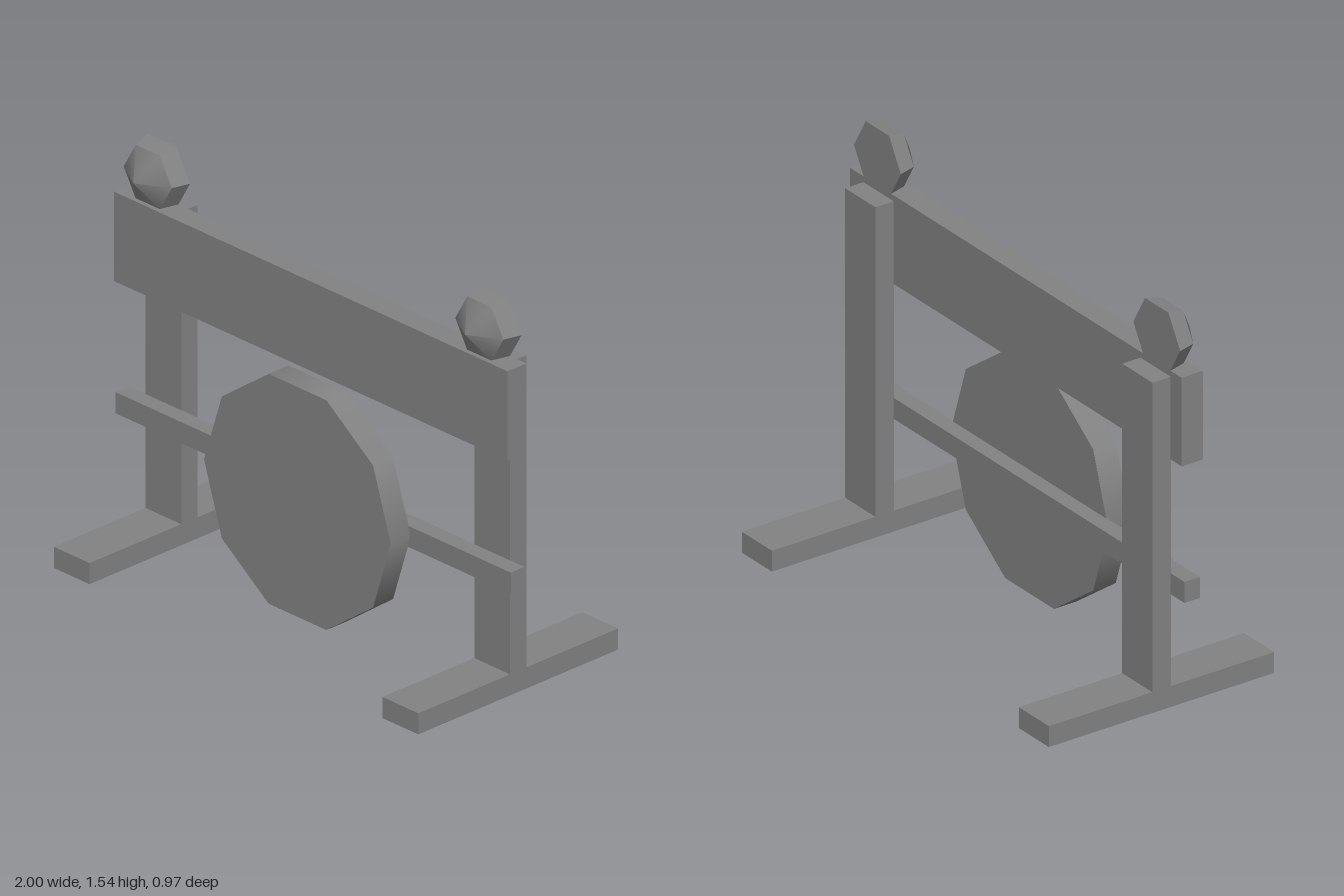
import * as THREE from 'three';
import { toCreasedNormals } from 'three/addons/utils/BufferGeometryUtils.js';

const material = new THREE.MeshStandardMaterial({ color: 0x828282 });

export function createModel() {
  const model = new THREE.Group();
  model.name = 'barrier';

  const add = (name, geometry, x, y, z) => {
    const mesh = new THREE.Mesh(geometry, material);
    mesh.name = name;
    mesh.position.set(x, y, z);
    model.add(mesh);
  };

  // Box given by its lower and upper limits on each axis
  const addBox = (name, [x0, x1], [y0, y1], [z0, z1]) =>
    add(name, new THREE.BoxGeometry(x1 - x0, y1 - y0, z1 - z0),
      (x0 + x1) / 2, (y0 + y1) / 2, (z0 + z1) / 2);

  // Six-sided lamp: flat back, tapered rim, smooth pointed front
  const profile = [[0, 0], [0.14, 0], [0.121, 0.07], [0, 0.14]]
    .map(([r, h]) => new THREE.Vector2(r, h));
  const lampGeometry = toCreasedNormals(
    new THREE.LatheGeometry(profile, 6, Math.PI / 2).rotateX(Math.PI / 2), 0.65);

  // Feet, posts and lamps on both sides
  for (const [side, s] of [['left', 1], ['right', -1]]) {
    const x = s * 0.827;
    const span = [x - 0.09, x + 0.09];
    addBox(side + 'Foot', span, [0, 0.082], [-0.485, 0.485]);
    addBox(side + 'Post', span, [0.082, 1.297], [-0.04, 0.04]);
    add(side + 'Lamp', lampGeometry, s * 0.834, 1.421, 0.039);
  }

  // Wide top board and thin middle rail
  addBox('topBoard', [-0.983, 0.998], [0.972, 1.32], [0.039, 0.13]);
  addBox('middleRail', [-1, 0.988], [0.443, 0.525], [0.039, 0.105]);

  // Ten-sided sign disc with corners pointing left and right
  const disc = new THREE.CylinderGeometry(0.47, 0.47, 0.097, 10, 1, false, Math.PI / 2)
    .rotateX(Math.PI / 2);
  add('signDisc', disc, 0.012, 0.487, 0.15);

  return model;
}
